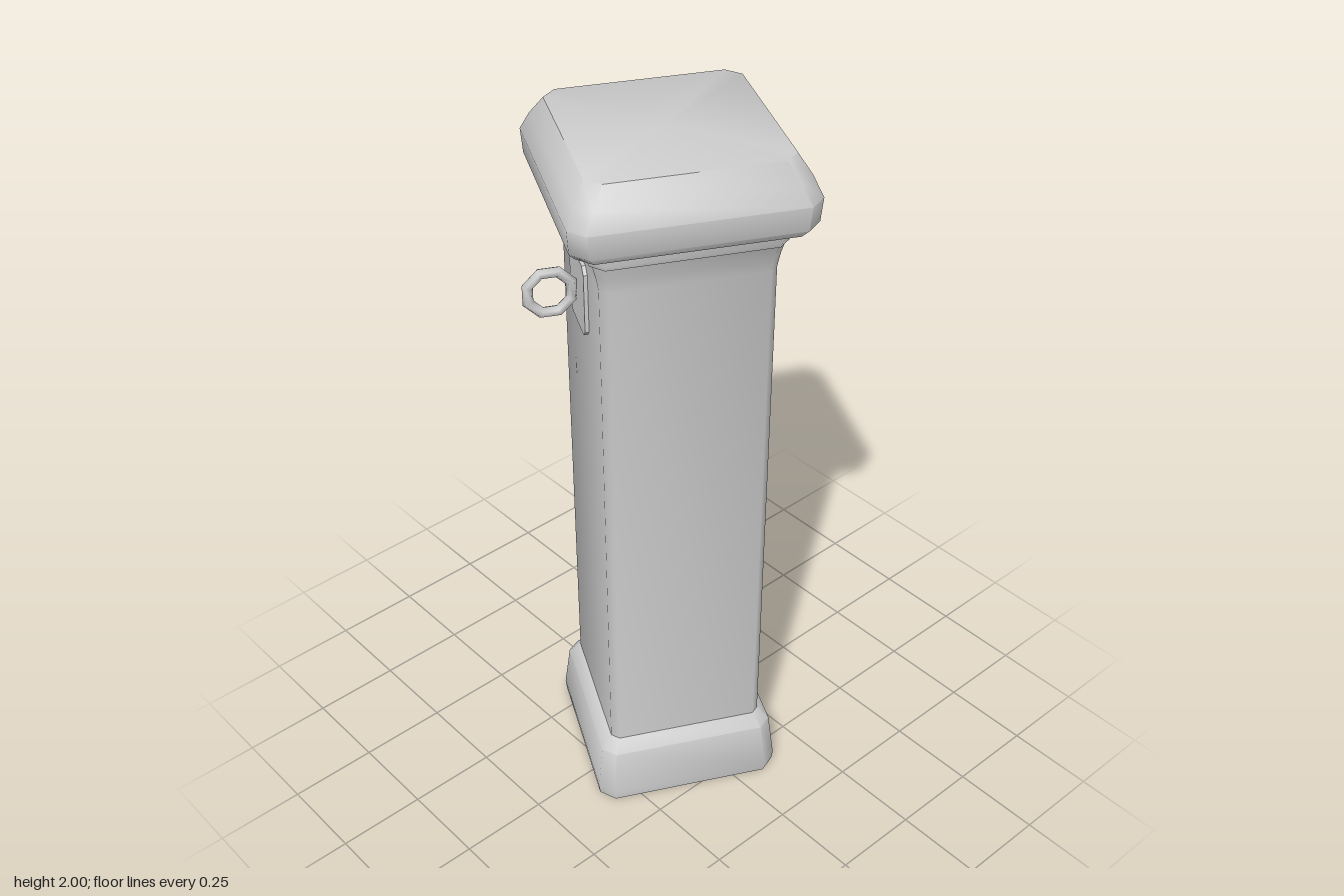
import * as THREE from 'three';
import { toCreasedNormals } from 'three/addons/utils/BufferGeometryUtils.js';

// Closed solid lofted through chamfered squares, listed bottom to top as [y, halfWidth, chamfer]
function chamferedLoft(sections) {
  const pos = [];
  const index = [];
  for (const [y, h, c] of sections) {
    const k = h - c;
    for (const [x, z] of [[h, -k], [h, k], [k, h], [-k, h], [-h, k], [-h, -k], [-k, -h], [k, -h]]) {
      pos.push(x, y, z);
    }
  }
  const last = sections.length - 1;
  const bottom = pos.length / 3;
  const top = bottom + 1;
  pos.push(0, sections[0][0], 0, 0, sections[last][0], 0);
  for (let i = 0; i < 8; i++) {
    const j = (i + 1) % 8;
    for (let s = 0; s < last; s++) {
      const a = s * 8 + i, b = s * 8 + j;
      index.push(a, a + 8, b + 8, a, b + 8, b);
    }
    index.push(bottom, i, j, top, last * 8 + j, last * 8 + i);
  }
  const geo = new THREE.BufferGeometry();
  geo.setAttribute('position', new THREE.Float32BufferAttribute(pos, 3));
  geo.setIndex(index);
  return toCreasedNormals(geo, 0.9);
}

export function createModel() {
  const stone = new THREE.MeshStandardMaterial({ color: 0xcccccc });
  stone.name = 'pale grey';

  const post = new THREE.Group();
  post.name = 'post';
  const add = (name, geo) => {
    const mesh = new THREE.Mesh(geo, stone);
    mesh.name = name;
    post.add(mesh);
    return mesh;
  };

  // Flared foot with a sloped shoulder
  add('base', chamferedLoft([
    [0, 0.262, 0.038], [0.03, 0.265, 0.038], [0.165, 0.25, 0.034], [0.2, 0.219, 0.02],
  ]));

  // Straight shaft widening under the neck
  add('shaft', chamferedLoft([
    [0.19, 0.219, 0.02], [1.69, 0.222, 0.02], [1.73, 0.229, 0.023], [1.77, 0.24, 0.028],
  ]));

  // Narrow band below the cap
  add('neckBand', chamferedLoft([[1.768, 0.246, 0.032], [1.78, 0.25, 0.034], [1.83, 0.25, 0.034]]));

  // Heavy bevelled cap
  add('cap', chamferedLoft([
    [1.815, 0.288, 0.038], [1.835, 0.303, 0.04], [1.9, 0.308, 0.04], [1.95, 0.286, 0.039], [2, 0.255, 0.036],
  ]));

  // Thin clipped-corner plate with a hitching ring
  const w = 0.08, h = 0.1, c = 0.018;
  const plateShape = new THREE.Shape([
    [w, -h + c], [w, h - c], [w - c, h], [-w + c, h], [-w, h - c], [-w, -h + c], [-w + c, -h], [w - c, -h],
  ].map(([x, y]) => new THREE.Vector2(x, y)));
  const plate = add('ringPlate', new THREE.ExtrudeGeometry(plateShape, { depth: 0.016, bevelEnabled: false }));
  plate.rotation.y = -Math.PI / 2;
  plate.position.set(-0.216, 1.58, 0);

  const ring = add('ring', new THREE.TorusGeometry(0.06, 0.015, 6, 8));
  ring.rotation.z = Math.PI / 8;
  ring.position.set(-0.302, 1.58, 0);

  post.rotation.y = -0.468;
  const model = new THREE.Group();
  model.name = 'hitchingPost';
  model.add(post);
  return model;
}
